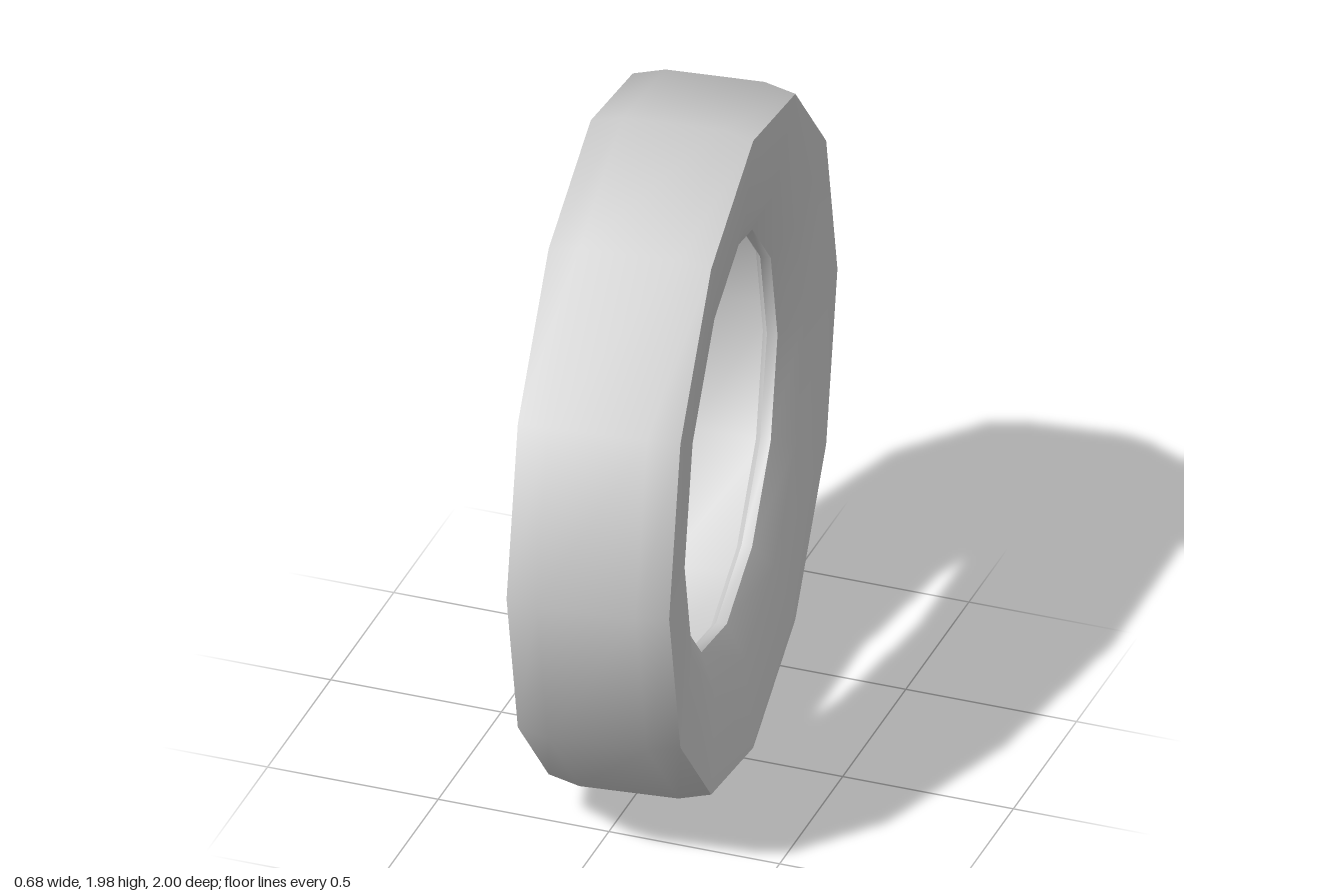
import * as THREE from 'three';
import { toCreasedNormals } from 'three/addons/utils/BufferGeometryUtils.js';

export function createModel() {
  const group = new THREE.Group();
  group.name = 'tire';

  // Half cross-section as [radius, offset along the axle], tread to cavity
  const half = [
    [0.992, 0.14],  // tread
    [0.97, 0.23],   // shoulder edge
    [0.69, 0.205],  // sidewall
    [0.585, 0.155], // bead
    [0.585, 0.125],
    [0.6, 0.11],    // bead bevel
    [0.75, 0.11],   // cavity corner
  ];
  // Mirror the half and close the loop
  const outline = [
    ...half,
    ...half.slice().reverse().map(([r, a]) => [r, -a]),
    half[0],
  ].map(([r, a]) => new THREE.Vector2(r, a));

  // Twelve-sided hollow ring, smooth around, sharp at the edges
  const lathe = new THREE.LatheGeometry(outline, 12);
  lathe.rotateZ(-Math.PI / 2);
  const geometry = toCreasedNormals(lathe, THREE.MathUtils.degToRad(36));

  const tire = new THREE.Mesh(geometry, new THREE.MeshStandardMaterial({ color: 0xcccccc }));
  tire.name = 'tireRing';
  // Steered slightly and standing on the ground
  tire.rotation.y = THREE.MathUtils.degToRad(6.5);
  tire.position.y = 0.992;
  group.add(tire);
  return group;
}
